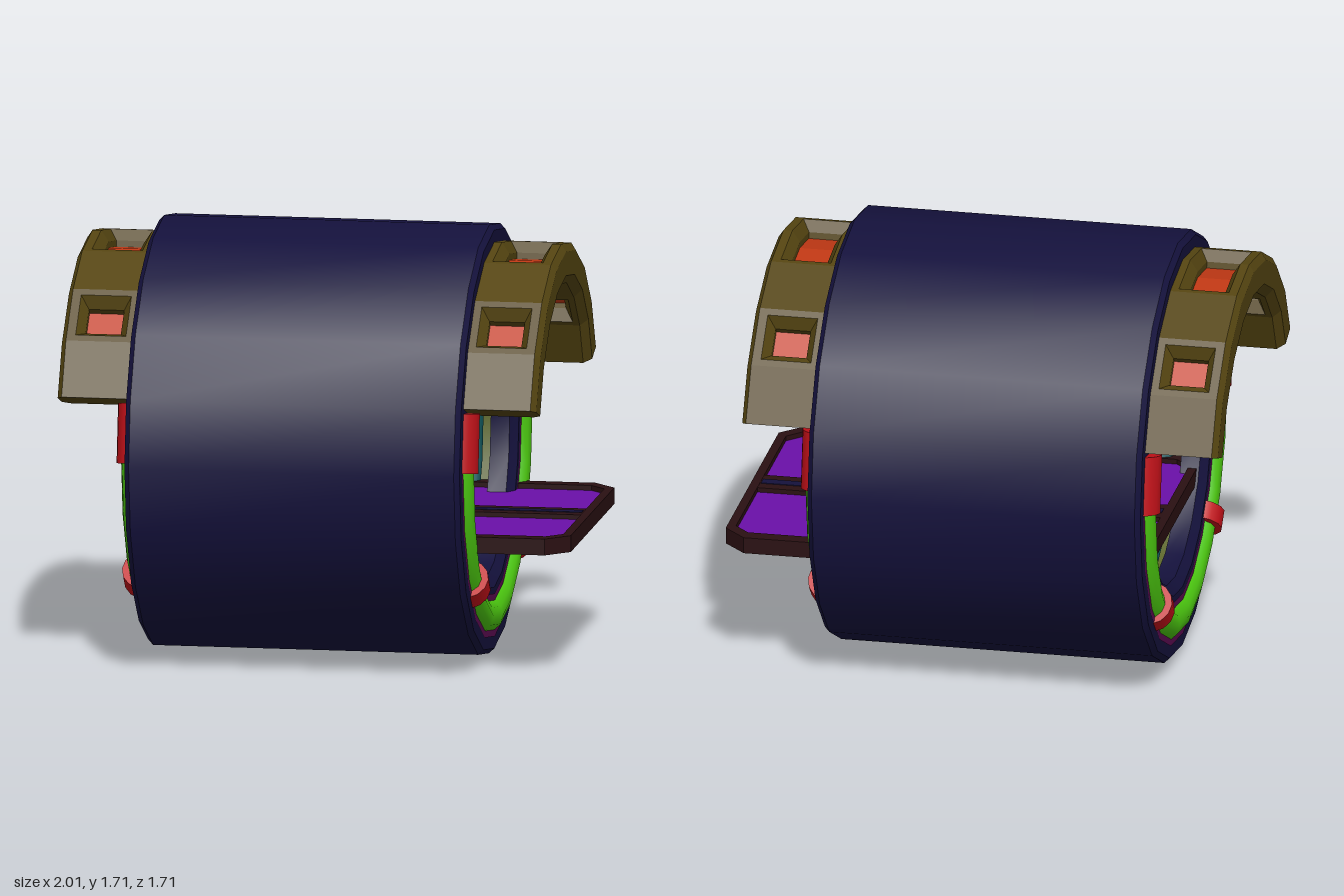
import * as THREE from 'three';
import { toCreasedNormals } from 'three/addons/utils/BufferGeometryUtils.js';

const STEP = Math.PI / 10; // twenty-sided rings throughout
const deg = THREE.MathUtils.degToRad;

const paint = (color, flatShading = false) =>
  new THREE.MeshStandardMaterial({ color, flatShading, side: THREE.DoubleSide });
const MAT = {
  hull: paint(0x14113c), lining: paint(0x55601a), teal: paint(0x0f5a60),
  canopy: paint(0x554511, true), pane: paint(0xc03814, true),
  red: paint(0xc01018), green: paint(0x4cc810), rim: paint(0x5a0a50),
  frame: paint(0x2a1012), panel: paint(0x6a10a8), strip: paint(0x14113c),
};

function add(parent, name, geometry, material, x = 0, y = 0, z = 0) {
  const mesh = new THREE.Mesh(geometry, material);
  mesh.name = name;
  mesh.position.set(x, y, z);
  parent.add(mesh);
  return mesh;
}

// Point on a twenty-sided ring, lying on its flat facets
function ringPoint(r, a, z) {
  const within = a - Math.floor(a / STEP + 1e-6) * STEP;
  const s = r * Math.cos(STEP / 2) / Math.cos(within - STEP / 2);
  return [s * Math.cos(a), s * Math.sin(a), z];
}

// Angles from a0 to a1 (degrees) including every ring corner between
function angles(a0, a1) {
  const list = [deg(a0)];
  for (let k = Math.floor(a0 / 18) + 1; k * 18 < a1 - 0.01; k++) list.push(k * STEP);
  return [...list, deg(a1)];
}

// Skin joining closed loops of equal length
function loft(rings, capped) {
  const n = rings[0].length, index = [];
  for (let i = 0; i < rings.length - 1; i++) {
    for (let j = 0; j < n; j++) {
      const a = i * n + j, b = i * n + (j + 1) % n;
      index.push(a, a + n, b, b, a + n, b + n);
    }
  }
  if (capped) {
    const last = (rings.length - 1) * n;
    for (let j = 1; j < n - 1; j++) {
      index.push(0, j, j + 1, last, last + j + 1, last + j);
    }
  }
  const g = new THREE.BufferGeometry();
  g.setAttribute('position', new THREE.Float32BufferAttribute(rings.flat(2), 3));
  g.setIndex(index);
  g.computeVertexNormals();
  return g;
}

// Solid arc swept from a profile of [radius, depth] points
const sector = (profile, a0, a1) =>
  loft(angles(a0, a1).map(a => profile.map(([r, z]) => ringPoint(r, a, z))), true);

// Four-sided opening outline at one radius
function outline(r, a0, a1, z0, z1) {
  const list = angles(a0, a1);
  return [...list.map(a => ringPoint(r, a, z0)),
    ...list.reverse().map(a => ringPoint(r, a, z1))];
}

function lathe(points) {
  const g = new THREE.LatheGeometry(points.map(p => new THREE.Vector2(...p)), 20);
  g.rotateZ(-Math.PI / 2);
  return toCreasedNormals(g, 0.5);
}

// Arched hood with three recessed windows
function createCanopy() {
  const canopy = new THREE.Group();
  canopy.name = 'canopy';
  const full = [[0.625, 0.66], [0.785, 0.66], [0.785, 0.93], [0.755, 0.95], [0.66, 0.95], [0.625, 0.92]];
  const innerRail = [[0.625, 0.66], [0.785, 0.66], [0.785, 0.695], [0.625, 0.695]];
  const outerRail = [[0.625, 0.895], [0.785, 0.895], [0.785, 0.93], [0.755, 0.95], [0.66, 0.95], [0.625, 0.92]];
  const paneProfile = [[0.7, 0.725], [0.715, 0.725], [0.715, 0.865], [0.7, 0.865]];
  const windows = [[38, 52, 2.5], [73.6, 106.4, 2], [128, 142, 2.5]];
  let start = 19;
  for (const [a0, a1, inset] of windows) {
    add(canopy, 'canopyPanel', sector(full, start, a0), MAT.canopy);
    add(canopy, 'canopyRail', sector(innerRail, a0, a1), MAT.canopy);
    add(canopy, 'canopyRail', sector(outerRail, a0, a1), MAT.canopy);
    const b0 = a0 + inset, b1 = a1 - inset;
    add(canopy, 'windowFrame', loft([
      outline(0.785, a0, a1, 0.695, 0.895), outline(0.74, b0, b1, 0.725, 0.865),
      outline(0.675, b0, b1, 0.725, 0.865), outline(0.625, a0, a1, 0.695, 0.895),
    ], false), MAT.canopy);
    add(canopy, 'windowPane', sector(paneProfile, b0, b1), MAT.pane);
    start = a1;
  }
  add(canopy, 'canopyPanel', sector(full, start, 161), MAT.canopy);
  return canopy;
}

// Everything fitted to one open end of the hull
function createEnd(name, turn) {
  const end = new THREE.Group();
  end.name = name;
  end.rotation.y = turn;
  end.add(createCanopy());
  add(end, 'tubeRim', new THREE.RingGeometry(0.615, 0.785, 10, 1, Math.PI, Math.PI), MAT.rim, 0, 0, 0.667);
  add(end, 'lightTube', new THREE.TorusGeometry(0.7, 0.07, 12, 10, Math.PI), MAT.green, 0, 0, 0.63)
    .rotation.z = Math.PI;
  const collar = (part, a, radius, length) => {
    const r = 0.7 * Math.cos(STEP / 2);
    add(end, part, new THREE.CylinderGeometry(radius, radius, length, 14), MAT.red,
      r * Math.cos(a), r * Math.sin(a), 0.635).rotation.z = a;
  };
  for (const a of [9, 171]) collar('tubeSocket', deg(a), 0.083, 0.235);
  for (const a of [-45, -135]) collar('tubeClamp', deg(a), 0.092, 0.075);
  return end;
}

// Plan outline with clipped corners
function clipped(PathType, x0, x1, w, c) {
  const p = new PathType();
  [[x0 + c, -w], [x1 - c, -w], [x1, -w + c], [x1, w - c], [x1 - c, w], [x0 + c, w], [x0, w - c], [x0, -w + c]]
    .forEach(([x, y], i) => (i ? p.lineTo(x, y) : p.moveTo(x, y)));
  p.closePath();
  return p;
}

// Long deck running through the hull and out of one end
function createDeck() {
  const deck = new THREE.Group();
  deck.name = 'deck';
  const slab = (shape, depth) =>
    new THREE.ExtrudeGeometry(shape, { depth, bevelEnabled: false }).rotateX(-Math.PI / 2);
  const border = clipped(THREE.Shape, -0.68, 1, 0.61, 0.09);
  border.holes.push(clipped(THREE.Path, -0.645, 0.965, 0.55, 0.06));
  add(deck, 'deckFrame', slab(border, 0.065), MAT.frame, 0, 0.515, 0);
  add(deck, 'deckPanel', slab(clipped(THREE.Shape, -0.65, 0.97, 0.555, 0.06), 0.03), MAT.panel, 0, 0.53, 0);
  add(deck, 'deckSpine', new THREE.BoxGeometry(1.62, 0.025, 0.14), MAT.frame, 0.16, 0.566, 0);
  add(deck, 'deckStrip', new THREE.BoxGeometry(1.6, 0.01, 0.045), MAT.strip, 0.16, 0.576, 0);
  for (const x of [0.4, -0.13]) {
    add(deck, 'deckCrossbar', new THREE.BoxGeometry(0.07, 0.025, 1.12), MAT.frame, x, 0.565, 0);
  }
  return deck;
}

export function createModel() {
  const model = new THREE.Group();
  model.name = 'tubeStation';
  const body = new THREE.Group();
  body.name = 'body';
  body.position.set(-0.055, 0.857, 0);
  model.add(body);

  // Hull shell with inward lips at both ends
  add(body, 'hull', lathe([
    [0.59, -0.665], [0.833, -0.665], [0.853, -0.645], [0.853, 0.645], [0.833, 0.665], [0.59, 0.665],
    [0.55, 0.635], [0.55, 0.56], [0.7, 0.56], [0.7, -0.56], [0.55, -0.56], [0.55, -0.635], [0.59, -0.665],
  ]), MAT.hull);
  add(body, 'lining', lathe([[0.69, 0.56], [0.69, -0.56]]), MAT.lining);

  // Ribs around the inside wall
  for (const x of [-0.46, -0.15, 0.15, 0.46]) {
    const rib = add(body, 'innerRib', new THREE.TorusGeometry(0.665, 0.035, 8, 20), MAT.teal, x);
    rib.rotation.y = Math.PI / 2;
    rib.scale.z = 1.5;
  }

  body.add(createEnd('leftEnd', Math.PI / 2), createEnd('rightEnd', -Math.PI / 2));
  model.add(createDeck());
  return model;
}
